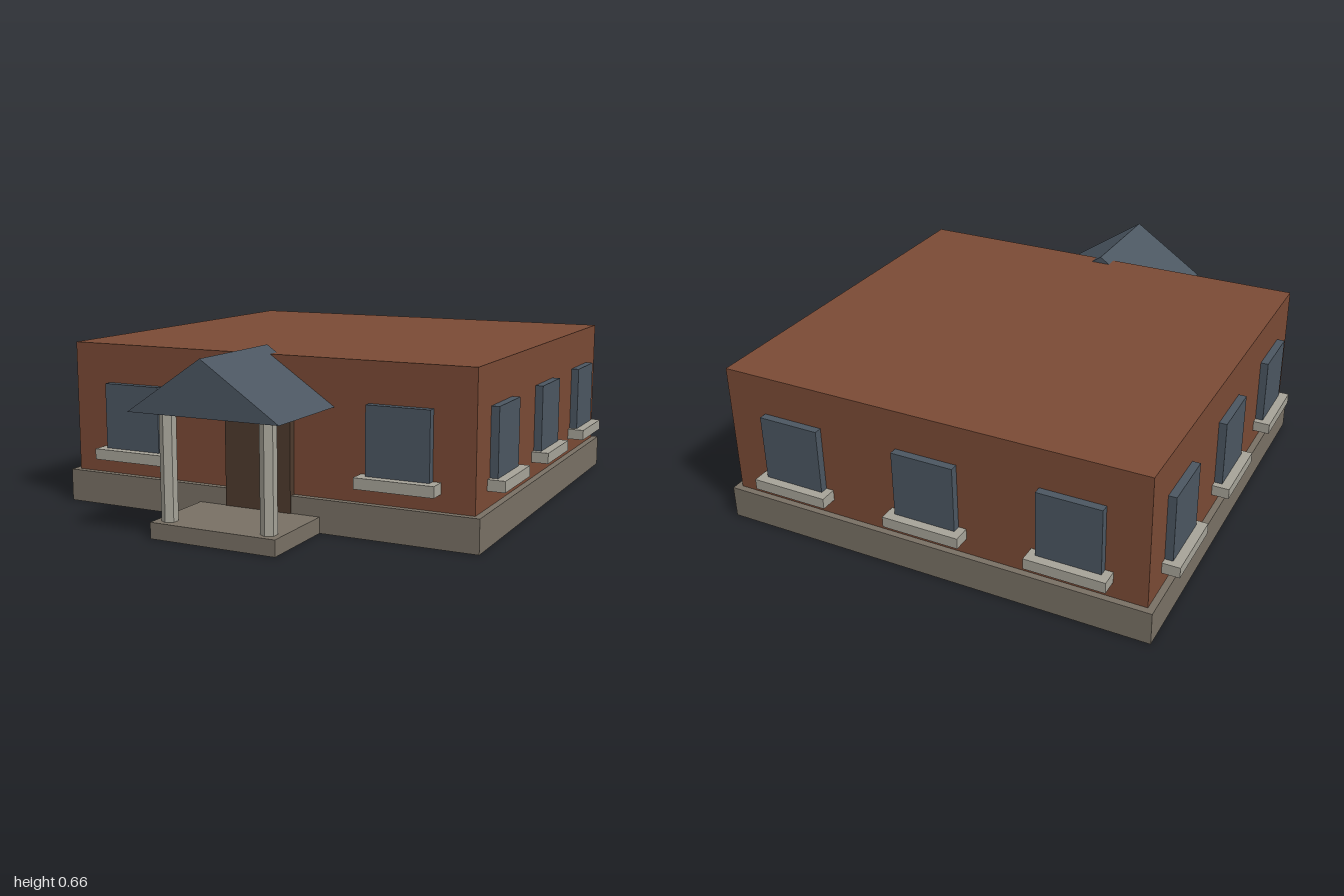
import * as THREE from 'three';

const material = (name, color) => {
  const m = new THREE.MeshStandardMaterial({ color });
  m.name = name;
  return m;
};

export function createModel() {
  const house = new THREE.Group();
  house.name = 'house';
  const brick = material('brick', 0x7a4a35);
  const stone = material('stone', 0x787064);
  const slate = material('slate', 0x4b5661);
  const trim = material('pale trim', 0xa6a398);
  const wood = material('dark wood', 0x4e3a2d);

  const add = (parent, name, geometry, mat, x = 0, y = 0, z = 0) => {
    const mesh = new THREE.Mesh(geometry, mat);
    mesh.name = name;
    mesh.position.set(x, y, z);
    parent.add(mesh);
    return mesh;
  };
  // Box given by its extents on each axis
  const box = (parent, name, mat, [x0, x1], [y0, y1], [z0, z1]) =>
    add(parent, name, new THREE.BoxGeometry(x1 - x0, y1 - y0, z1 - z0), mat,
      (x0 + x1) / 2, (y0 + y1) / 2, (z0 + z1) / 2);

  // Main block on its plinth
  box(house, 'walls', brick, [-0.825, 0.825], [0.003, 0.63], [-0.935, 0.6]);
  box(house, 'plinth', stone, [-0.85, 0.85], [0, 0.125], [-0.96, 0.625]);

  // Window with sill; local z = 0 is the wall face, +z points outwards
  const addWindow = (x, z, turn, width, sillWidth) => {
    const g = new THREE.Group();
    g.name = 'window';
    box(g, 'pane', slate, [-width / 2, width / 2], [0.22, 0.48], [-0.02, 0.03]);
    box(g, 'sill', trim, [-sillWidth / 2, sillWidth / 2], [0.187, 0.228], [-0.01, 0.065]);
    g.position.set(x, 0, z);
    g.rotation.y = turn;
    house.add(g);
  };
  for (const x of [-0.55, 0.55]) addWindow(x, 0.6, 0, 0.24, 0.3);
  for (const x of [-0.55, 0, 0.55]) addWindow(x, -0.935, Math.PI, 0.24, 0.3);
  for (const side of [-1, 1])
    for (const z of [-0.68, -0.167, 0.345])
      addWindow(side * 0.825, z, side * Math.PI / 2, 0.23, 0.28);

  // Entrance porch
  const porch = new THREE.Group();
  porch.name = 'porch';
  house.add(porch);
  box(porch, 'door', wood, [-0.135, 0.135], [0.06, 0.46], [0.58, 0.63]);
  box(porch, 'step', stone, [-0.25, 0.25], [0, 0.06], [0.61, 0.95]);
  for (const x of [-0.2, 0.2]) {
    const column = new THREE.CylinderGeometry(0.03, 0.03, 0.4, 6).toNonIndexed();
    column.computeVertexNormals();
    add(porch, 'column', column, trim, x, 0.26, 0.9);
  }

  // Gabled porch roof running back into the wall
  const gable = new THREE.Shape([
    new THREE.Vector2(-0.297, 0.457),
    new THREE.Vector2(0.297, 0.457),
    new THREE.Vector2(0, 0.657),
  ]);
  add(porch, 'porchRoof',
    new THREE.ExtrudeGeometry(gable, { depth: 0.45, bevelEnabled: false }), slate, 0, 0, 0.55);

  return house;
}
